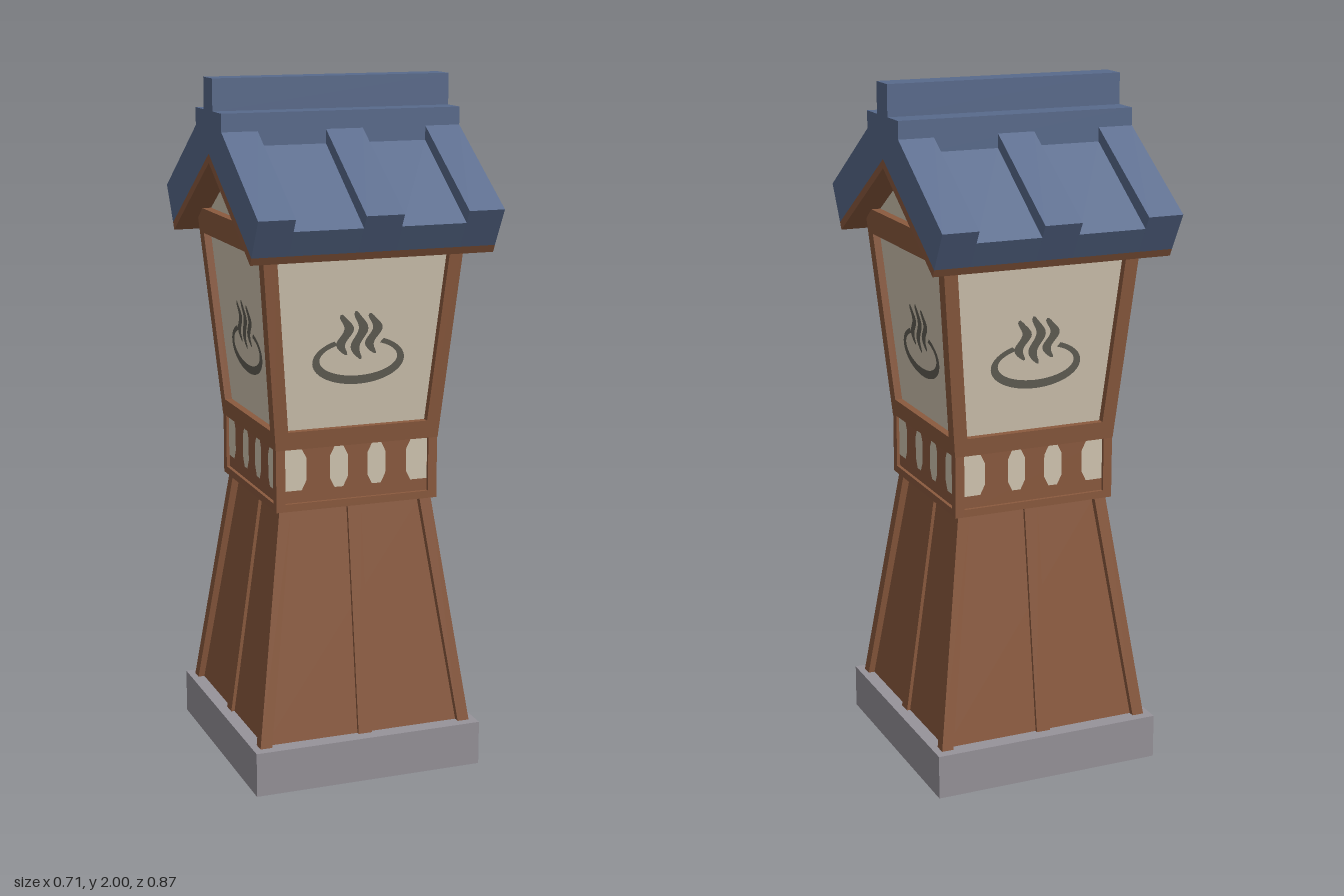
import * as THREE from 'three';

const mat = (name, color) => {
  const m = new THREE.MeshStandardMaterial({ color });
  m.name = name;
  return m;
};

export function createModel() {
  const wood = mat('wood', 0x8b5a3e);
  const tile = mat('blue roof tile', 0x586a8c);
  const paper = mat('cream paper', 0xd2c6b2);
  const stone = mat('grey stone', 0x97939a);
  const ink = mat('dark ink', 0x625f55);

  const model = new THREE.Group();
  model.name = 'lanternTower';

  const add = (parent, name, geometry, material) => {
    const mesh = new THREE.Mesh(geometry, material);
    mesh.name = name;
    parent.add(mesh);
    return mesh;
  };

  // Tapered block between two rectangles [x0, x1, z0, z1] at heights y0 and y1
  const block = (y0, a, y1, b = a) => {
    const g = new THREE.BoxGeometry(1, 1, 1);
    const p = g.attributes.position;
    for (let i = 0; i < p.count; i++) {
      const top = p.getY(i) > 0;
      const r = top ? b : a;
      p.setXYZ(i, p.getX(i) < 0 ? r[0] : r[1], top ? y1 : y0, p.getZ(i) < 0 ? r[2] : r[3]);
    }
    g.computeVertexNormals();
    return g;
  };
  const square = (h) => [-h, h, -h, h];
  const corner = (h, w) => [h - w, h, h - w, h];
  const rail = (h, w) => [w - h, h - w, h - w, h];

  // Profile of [z, y] points extruded along x
  const extrudeX = (points, x0, x1) => {
    const shape = new THREE.Shape(points.map(([z, y]) => new THREE.Vector2(z, y)));
    const g = new THREE.ExtrudeGeometry(shape, { depth: x1 - x0, bevelEnabled: false });
    return g.rotateY(Math.PI / 2).translate(x0, 0, 0);
  };
  const mirrored = (half) => [...half, ...half.map(([z, y]) => [-z, y]).reverse()];

  // Plinth and solid cores
  add(model, 'plinth', block(0, [-0.345, 0.345, -0.352, 0.352], 0.13), stone);
  add(model, 'lowerBody', block(0.13, square(0.305), 0.8, square(0.21)), wood);
  add(model, 'bandCore', block(0.8, square(0.235), 0.98), wood);
  const h = (y) => 0.246 + (y - 0.98) * 0.0903; // lantern half width at height y
  const inset = 0.022;
  add(model, 'paperBox', block(1.0, square(h(1.0) - inset), 1.59, square(h(1.59) - inset)), paper);

  // Wavy steam ribbon, tapered at both ends
  const steamShape = (cx, y0, y1) => {
    const left = [], right = [];
    for (let i = 0; i <= 16; i++) {
      const t = i / 16;
      const x = cx - 0.012 * Math.sin(t * Math.PI * 2.6 - 0.5);
      const w = 0.003 + 0.012 * Math.sqrt(Math.sin(Math.PI * t) + 1e-6);
      const y = y0 + (y1 - y0) * t;
      left.push(new THREE.Vector2(x - w, y));
      right.push(new THREE.Vector2(x + w, y));
    }
    return new THREE.Shape([...right, ...left.reverse()]);
  };

  // Open bowl ring, thicker at the bottom
  const bowlShape = () => {
    const s = new THREE.Shape();
    const end = Math.PI * 0.32;
    s.absellipse(0, 0.195, 0.138, 0.07, Math.PI - end, 2 * Math.PI + end, false);
    s.absellipse(0, 0.2, 0.117, 0.05, end, Math.PI - end, true);
    return s;
  };

  // Small window with chamfered corners; outer edge of the end windows is square
  const windowShape = (u0, u1, cutLeft, cutRight) => {
    const b = 0.858, t = 0.979, l = cutLeft ? 0.014 : 0.001, r = cutRight ? 0.014 : 0.001;
    return new THREE.Shape([
      [u0 + l, b], [u1 - r, b], [u1, b + 2 * r], [u1, t - 2 * r],
      [u1 - r, t], [u0 + l, t], [u0, t - 2 * l], [u0, b + 2 * l],
    ].map(([x, y]) => new THREE.Vector2(x, y)));
  };

  // Four identical sides
  for (let i = 0; i < 4; i++) {
    const side = new THREE.Group();
    side.name = ['front', 'left', 'back', 'right'][i] + 'Side';
    side.rotation.y = (i * Math.PI) / 2;
    model.add(side);

    // Tapered base: corner post and middle batten
    add(side, 'lowerPost', block(0.13, corner(0.324, 0.035), 0.8, corner(0.232, 0.035)), wood);
    add(side, 'batten', block(0.13, [-0.021, 0.021, 0.28, 0.315], 0.8, [-0.021, 0.021, 0.19, 0.22]), wood);

    // Band with small windows
    add(side, 'bandPost', block(0.8, corner(0.245, 0.027), 0.98), wood);
    add(side, 'bandRail', block(0.8, rail(0.245, 0.027), 0.822), wood);
    [[-0.217, -0.152, false, true], [-0.081, -0.027, true, true],
      [0.033, 0.088, true, true], [0.152, 0.217, true, false]].forEach((w) => {
      add(side, 'bandWindow', new THREE.ShapeGeometry(windowShape(...w)), paper).position.z = 0.237;
    });

    // Lantern frame
    add(side, 'lanternPost', block(0.98, corner(h(0.98), 0.04), 1.605, corner(h(1.605), 0.04)), wood);
    add(side, 'lowerRail', block(0.98, rail(h(0.98), 0.04), 1.032, rail(h(1.032), 0.04)), wood);
    add(side, 'upperRail', block(1.53, rail(h(1.53), 0.04), 1.605, rail(h(1.605), 0.04)), wood);

    // Painted steaming bowl on the leaning paper
    const motif = new THREE.Group();
    motif.name = 'steamingBowl';
    motif.position.set(0, 1.03, h(1.03) - inset + 0.002);
    motif.rotation.x = Math.atan(0.0903);
    side.add(motif);
    add(motif, 'bowl', new THREE.ShapeGeometry(bowlShape(), 32), ink);
    [[-0.043, 0.212, 0.33], [0, 0.198, 0.338], [0.043, 0.212, 0.33]].forEach((s) =>
      add(motif, 'steam', new THREE.ShapeGeometry(steamShape(...s)), ink));
  }

  // Gable infill
  add(model, 'gable', extrudeX([[-0.29, 1.585], [0.29, 1.585], [0, 1.775]], -0.275, 0.275), paper);

  // Roof: raised ribs alternating with lower strips
  const under = [[-0.375, 1.549], [0, 1.79], [0.375, 1.549]];
  const ribProfile = [...mirrored([[0.435, 1.655], [0.12, 1.86]]), ...under];
  const stripProfile = [...mirrored([[0.415, 1.62], [0.12, 1.82]]), ...under];
  const edges = [-0.355, -0.25, -0.05, 0.06, 0.25, 0.355];
  for (let i = 0; i < 5; i++) {
    const rib = i % 2 === 0;
    add(model, rib ? 'roofRib' : 'roofStrip',
      extrudeX(rib ? ribProfile : stripProfile, edges[i], edges[i + 1]), tile);
  }
  add(model, 'roofLining', extrudeX([...under, [0.364, 1.528], [0, 1.764], [-0.364, 1.528]], -0.355, 0.355), wood);
  add(model, 'ridgeBase', block(1.81, [-0.355, 0.355, -0.121, 0.121], 1.91), tile);
  add(model, 'ridgeCap', block(1.91, [-0.355, 0.355, -0.041, 0.041], 2), tile);

  return model;
}
